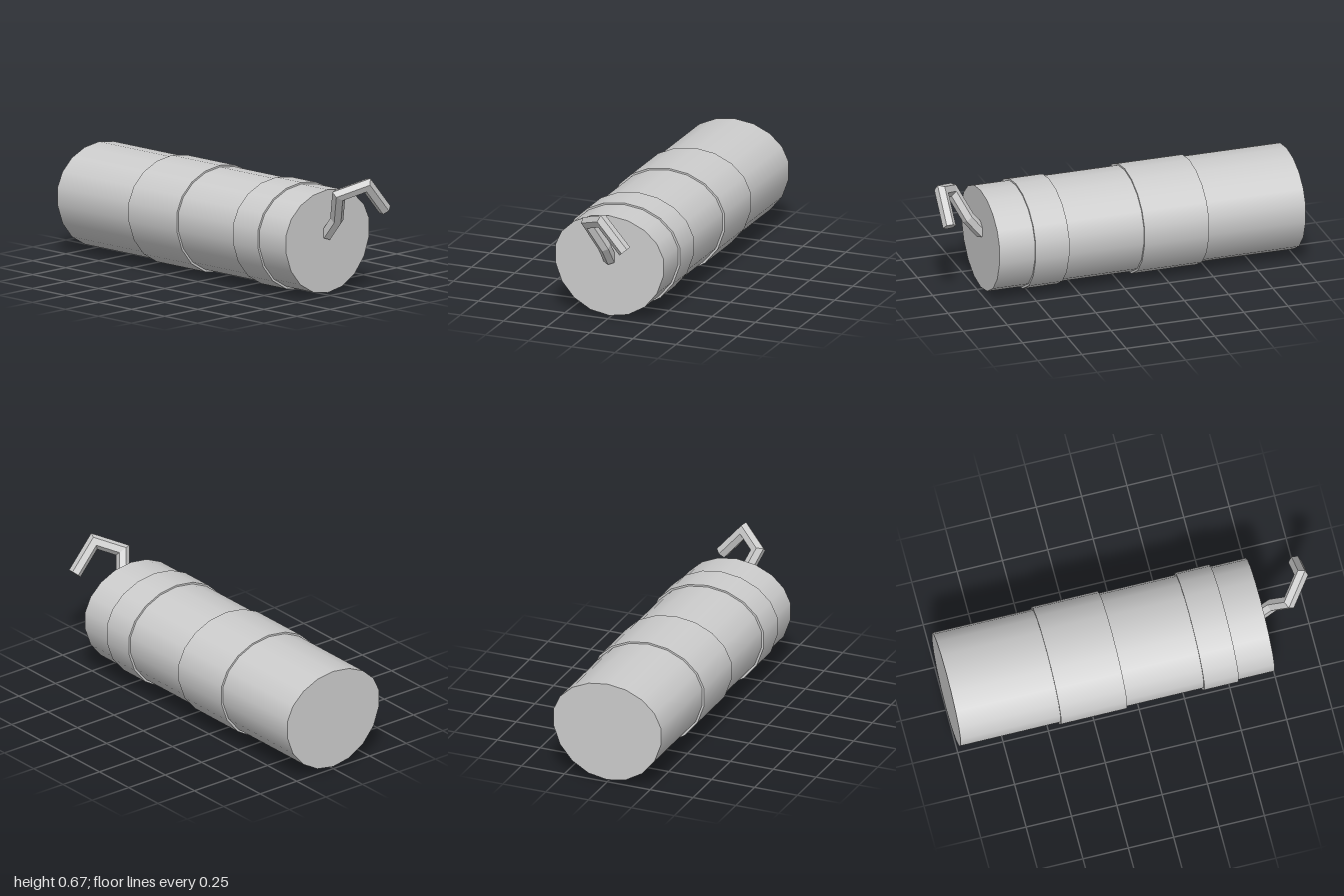
import * as THREE from 'three';

const CENTRE_Y = 0.33, SQUASH = 0.773;

// 18-sided drum along x, with its upper half flattened
function drum(x0, x1, radius, name, material) {
  const g = new THREE.CylinderGeometry(radius, radius, x1 - x0, 18);
  g.rotateY(Math.PI / 2);
  g.rotateZ(Math.PI / 2);
  const p = g.attributes.position, n = g.attributes.normal, v = new THREE.Vector3();
  for (let i = 0; i < p.count; i++) {
    if (p.getY(i) <= 0) continue;
    p.setY(i, p.getY(i) * SQUASH);
    v.fromBufferAttribute(n, i);
    v.y /= SQUASH;
    v.normalize();
    n.setXYZ(i, v.x, v.y, v.z);
  }
  const mesh = new THREE.Mesh(g, material);
  mesh.name = name;
  mesh.position.set((x0 + x1) / 2, CENTRE_Y, 0);
  return mesh;
}

// Hexagonal rod swept along a bent path with mitred corners
function bentRod(path, radius) {
  const dirs = path.slice(1).map((p, i) => p.clone().sub(path[i]).normalize());
  const side = new THREE.Vector3(0, 0, 1);
  const up = side.clone().cross(dirs[0]);
  let ring = [];
  for (let k = 0; k < 6; k++) {
    const a = k * Math.PI / 3;
    ring.push(path[0].clone()
      .addScaledVector(up, Math.cos(a) * radius)
      .addScaledVector(side, -Math.sin(a) * radius));
  }
  const rings = [ring];
  dirs.forEach((d, i) => {
    const end = path[i + 1];
    const normal = i + 1 < dirs.length ? d.clone().add(dirs[i + 1]) : d.clone();
    ring = ring.map(q => q.clone().addScaledVector(d, end.clone().sub(q).dot(normal) / d.dot(normal)));
    rings.push(ring);
  });

  // Wind the faces outward whichever way the ring runs
  const r0 = rings[0];
  const turn = r0[0].clone().sub(path[0]).cross(r0[1].clone().sub(path[0])).dot(dirs[0]);
  const out = [];
  const tri = (a, b, c) => [a, turn > 0 ? b : c, turn > 0 ? c : b].forEach(q => out.push(q.x, q.y, q.z));
  const last = rings.length - 1;
  for (let k = 0; k < 6; k++) {
    const m = (k + 1) % 6;
    for (let i = 0; i < last; i++) {
      tri(rings[i][k], rings[i][m], rings[i + 1][m]);
      tri(rings[i][k], rings[i + 1][m], rings[i + 1][k]);
    }
    tri(path[0], rings[0][m], rings[0][k]);
    tri(path[last], rings[last][k], rings[last][m]);
  }
  const g = new THREE.BufferGeometry();
  g.setAttribute('position', new THREE.Float32BufferAttribute(out, 3));
  g.computeVertexNormals();
  return g;
}

export function createModel() {
  const group = new THREE.Group();
  group.name = 'fusedCylinder';
  const grey = new THREE.MeshStandardMaterial({ color: 0xcccccc });
  grey.name = 'lightGrey';

  // Body and its two raised bands
  group.add(drum(-1, 0.73, 0.318, 'body', grey));
  group.add(drum(-0.45, -0.085, 0.33, 'wideBand', grey));
  group.add(drum(0.34, 0.53, 0.33, 'narrowBand', grey));

  // Bent fuse leaving the end face
  const path = [
    [0.72, 0.327, 0], [0.8, 0.425, 0], [0.875, 0.575, 0.06],
    [0.971, 0.628, -0.058], [0.971, 0.476, -0.191],
  ].map(p => new THREE.Vector3(...p));
  const fuse = new THREE.Mesh(bentRod(path, 0.036), grey);
  fuse.name = 'fuse';
  group.add(fuse);
  return group;
}
